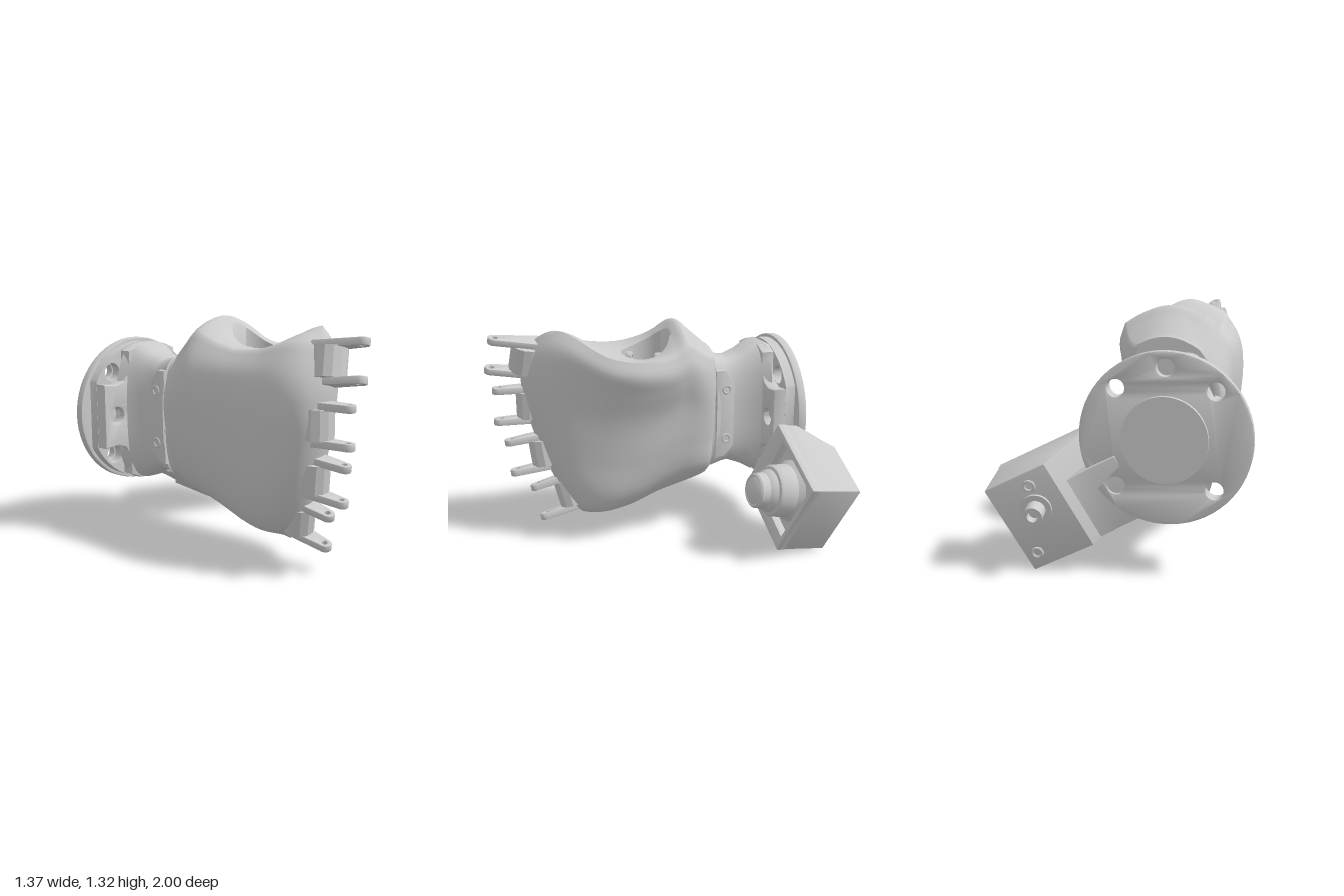
import * as THREE from 'three';
import { toCreasedNormals } from 'three/addons/utils/BufferGeometryUtils.js';

const material = new THREE.MeshStandardMaterial({ color: 0xcccccc, side: THREE.DoubleSide });
const V = (x, y, z) => new THREE.Vector3(x, y, z);
const points2 = (list) => list.map(([x, y]) => new THREE.Vector2(x, y));

function part(name, geometry, parent, crease = 0.6) {
  const mesh = new THREE.Mesh(toCreasedNormals(geometry, crease), material);
  mesh.name = name;
  parent.add(mesh);
  return mesh;
}

// Smooth lookup in rows of [t, a, b, ...]
function sample(rows, t) {
  let i = 0;
  while (i < rows.length - 2 && t > rows[i + 1][0]) i++;
  const p = rows[i], q = rows[i + 1], o = rows[Math.max(i - 1, 0)], r = rows[Math.min(i + 2, rows.length - 1)];
  const h = q[0] - p[0], s = Math.min(Math.max((t - p[0]) / h, 0), 1);
  return p.slice(1).map((a, k) => {
    const b = q[k + 1];
    const m = ((b - o[k + 1]) / (q[0] - o[0])) * h, n = ((r[k + 1] - a) / (r[0] - p[0])) * h;
    return a + s * m + s * s * (3 * (b - a) - 2 * m - n) + s * s * s * (2 * (a - b) + m + n);
  });
}

// Skin over closed rings with equal point counts
function loft(rings) {
  const n = rings[0].length, index = [];
  for (let i = 0; i < rings.length - 1; i++) {
    for (let j = 0; j < n; j++) {
      const a = i * n + j, b = i * n + ((j + 1) % n);
      index.push(a, a + n, b, b, a + n, b + n);
    }
  }
  const g = new THREE.BufferGeometry().setFromPoints(rings.flat());
  g.setIndex(index);
  return g;
}

function extrude(shape, depth, z, bevel = 0) {
  const g = new THREE.ExtrudeGeometry(shape, {
    depth: depth - 2 * bevel, bevelEnabled: bevel > 0, bevelSize: bevel, bevelOffset: -bevel,
    bevelThickness: bevel, bevelSegments: 2, curveSegments: 32,
  });
  return g.translate(0, 0, z + bevel);
}

function circleHole(x, y, r) {
  const p = new THREE.Path();
  p.absarc(x, y, r, 0, Math.PI * 2, true);
  return p;
}

const bottomCurve = [[-0.29, 0.32], [0, 0.24], [0.2, 0.17], [0.45, 0.13], [0.8, 0.15]];
// z, crown height, fall towards the sides
const topCurve = [[-0.29, 1.16, 1.9], [-0.17, 1.28, 1.9], [-0.1, 1.345, 1.9], [-0.03, 1.3, 1.6], [0.06, 1.235, 1],
  [0.2, 1.19, 0.6], [0.35, 1.205, 0.7], [0.6, 1.29, 1.5], [0.8, 1.2, 1.9]];
// level, left x, back right x, bulge x, taper x, front right x, front z
const levels = [
  [0, -0.28, -0.18, -0.17, -0.18, -0.2, 0.46],
  [0.04, -0.36, -0.12, -0.1, -0.09, -0.13, 0.52],
  [0.15, -0.43, -0.03, -0.01, -0.02, -0.12, 0.6],
  [0.35, -0.48, 0.0, 0.045, 0.0, -0.15, 0.69],
  [0.6, -0.505, 0.03, 0.08, 0.03, -0.17, 0.76],
  [0.8, -0.51, 0.04, 0.14, 0.08, -0.18, 0.79],
  [0.93, -0.48, 0.03, 0.165, 0.115, -0.2, 0.78],
  [1, -0.4, 0.01, 0.13, 0.08, -0.22, 0.72],
];
function topY(x, z) {
  const [crown, fall] = sample(topCurve, z);
  return crown - fall * (x + 0.16) ** 2;
}

function palmGeometry() {
  const N = 120, rings = [];
  const ringAt = (t) => {
    const [xl, xb, xr, xt, xf, zf] = sample(levels, t);
    const curve = new THREE.CatmullRomCurve3([
      V(xl + 0.04, 0, -0.29), V((xl + xb) / 2, 0, -0.31), V(xb, 0, -0.29), V(xr, 0, 0.02), V(xt, 0, 0.35),
      V(xf, 0, zf - 0.07), V((xl + xf) / 2, 0, zf), V(xl + 0.05, 0, zf - 0.05), V(xl + 0.005, 0, zf - 0.17),
      V(xl + 0.012, 0, 0.15),
    ], true);
    return Array.from({ length: N }, (_, j) => {
      const p = curve.getPoint(j / N);
      p.z = Math.max(p.z, -0.295);
      const low = sample(bottomCurve, p.z)[0];
      p.y = low + (topY(p.x, p.z) - low) * t;
      return p;
    });
  };
  rings.push(ringAt(0).map((p) => V(-0.23, sample(bottomCurve, p.z)[0], p.z)));
  for (let i = 0; i <= 32; i++) rings.push(ringAt(1 - (1 - i / 32) ** 1.2));
  // Top surface running in to the thumb socket
  const rim = rings[rings.length - 1];
  const socket = rim.map((p) => {
    const a = Math.atan2(p.z - 0.1, p.x + 0.1);
    return V(-0.1 + 0.14 * Math.cos(a), 0, 0.1 + 0.14 * Math.sin(a));
  });
  for (let i = 1; i <= 18; i++) {
    const s = i / 18;
    rings.push(rim.map((p, j) => {
      const q = p.clone().lerp(socket[j], s);
      q.y = topY(q.x, q.z) - 0.04 * s;
      return q;
    }));
  }
  rings.push(socket.map((p) => V(p.x, 0.95, p.z)));
  rings.push(socket.map(() => V(-0.1, 0.95, 0.1)));
  return loft(rings);
}

// Knuckle block between two drilled lugs, pointing along +z
function fingerMount(name) {
  const g = new THREE.Group();
  g.name = name;
  const block = new THREE.CylinderGeometry(0.088, 0.088, 0.16, 12).rotateY(Math.PI / 12);
  part('knuckleBlock', block.translate(0, 0, -0.015), g, 0.3);
  const s = new THREE.Shape();
  s.moveTo(-0.06, 0.1);
  s.lineTo(-0.035, -0.17);
  s.absarc(0, -0.175, 0.035, Math.PI, Math.PI * 2, false);
  s.lineTo(0.06, 0.1);
  s.holes.push(circleHole(0, -0.17, 0.015));
  for (const y of [-0.095, 0.095]) {
    part('lug', extrude(s, 0.04, -0.02, 0.005).rotateX(-Math.PI / 2).translate(0, y, 0), g);
  }
  return g;
}

function cameraModule() {
  const g = new THREE.Group();
  g.name = 'cameraModule';
  // Housing, and the tongue that meets the flange
  const side = new THREE.Shape(points2([[0.265, -0.05], [-0.265, -0.05], [-0.265, -0.13], [-0.22, -0.18],
    [-0.15, -0.25], [-0.09, -0.32], [0.265, -0.32]]));
  part('housing', extrude(side, 0.51, -0.255, 0.008).rotateX(Math.PI / 2), g);
  const tongue = new THREE.Shape(points2([[0, -0.15], [-0.26, -0.12], [-0.4, -0.2], [-0.4, -0.24], [-0.25, -0.25],
    [-0.12, -0.275], [0, -0.318]]));
  part('tongue', extrude(tongue, 0.36, -0.11, 0.005).rotateX(Math.PI / 2), g);
  // Front frame with a square window
  const frame = new THREE.Shape(points2([[-0.265, -0.255], [0.265, -0.255], [0.265, 0.255], [-0.265, 0.255]]));
  frame.holes.push(new THREE.Path(points2([[-0.145, -0.165], [0.235, -0.165], [0.235, 0.22], [-0.145, 0.22]])));
  part('frontFrame', extrude(frame, 0.06, -0.06, 0.008), g);
  const lens = [[0.18, -0.05], [0.155, -0.02], [0.15, 0.07], [0.14, 0.085], [0.125, 0.09], [0.115, 0.12], [0.105, 0.13],
    [0.1, 0.18], [0.09, 0.19], [0.08, 0.185], [0.06, 0.197], [0.03, 0.206], [0, 0.209]];
  part('lens', new THREE.LatheGeometry(points2(lens), 48).rotateX(Math.PI / 2).translate(0.045, 0.018, 0), g);
  // Rear connector and screws
  const plug = [[0.08, 0], [0.08, 0.015], [0.05, 0.015], [0.05, 0.095], [0.028, 0.095], [0.028, 0.05], [0, 0.05]];
  part('connector', new THREE.LatheGeometry(points2(plug), 32).rotateX(-Math.PI / 2).translate(0.07, 0.055, -0.32), g);
  for (const [x, y] of [[0.04, 0.18], [0.2, -0.17]]) {
    part('rearScrew', new THREE.TorusGeometry(0.026, 0.008, 8, 24).translate(x, y, -0.32), g);
  }
  g.rotation.set(-0.185, 0, -0.47, 'ZYX');
  g.position.set(0.335, 0.385, -0.57);
  return g;
}

function wrist() {
  const g = new THREE.Group();
  g.name = 'wrist';
  const corners = [[-0.25, -0.25], [0.25, -0.25], [-0.25, 0.25], [0.25, 0.25]];
  // Mounting flange and rear boss
  const disc = new THREE.Shape().absarc(0, 0, 0.44, 0, Math.PI * 2, false);
  disc.holes.push(...[...corners, [0, 0.36]].map(([x, y]) => circleHole(x, y, 0.045)));
  part('flange', extrude(disc, 0.05, -0.815, 0.006), g);
  part('rearBoss', new THREE.CylinderGeometry(0.22, 0.22, 0.04, 64).rotateX(Math.PI / 2).translate(0, 0, -0.82), g);
  // Hub: a disc with flat sides, and a raised layer with open corner pockets
  const hub = new THREE.Shape();
  const a = Math.acos(0.37 / 0.42);
  hub.absarc(0, 0, 0.42, a, Math.PI - a, false);
  hub.absarc(0, 0, 0.42, Math.PI + a, 2 * Math.PI - a, false);
  hub.closePath();
  hub.holes.push(...corners.map(([x, y]) => circleHole(x, y, 0.055)));
  part('hub', extrude(hub, 0.065, -0.77), g);
  const quarter = [[0.37, 0.19], [0.28, 0.18], [0.22, 0.2], [0.18, 0.26], [0.18, 0.375], [0.1, 0.408]];
  const mirrored = (sx, sy) => quarter.map(([x, y]) => [x * sx, y * sy]);
  const raised = new THREE.Shape(points2([...mirrored(1, 1), ...mirrored(-1, 1).reverse(),
    ...mirrored(-1, -1), ...mirrored(1, -1).reverse()]));
  raised.holes.push(circleHole(-0.28, 0, 0.05), circleHole(0.28, 0, 0.05));
  part('raisedHub', extrude(raised, 0.08, -0.71, 0.008), g);
  // Neck: z, half width, half height
  const neck = [[-0.68, 0.24, 0.42], [-0.62, 0.2, 0.41], [-0.55, 0.17, 0.37], [-0.46, 0.155, 0.335], [-0.42, 0.16, 0.34],
    [-0.36, 0.175, 0.355], [-0.345, 0.18, 0.36], [-0.34, 0.165, 0.36], [-0.24, 0.165, 0.36]];
  part('neck', loft(neck.map(([z, w, h]) => Array.from({ length: 64 }, (_, j) => {
    const t = (-j / 64) * Math.PI * 2, c = Math.cos(t), s = Math.sin(t);
    return V(w * Math.sign(c) * Math.abs(c) ** 0.6, h * Math.sign(s) * Math.abs(s) ** 0.7, z);
  }))), g);
  // Clamp plates and screws on both sides of the neck
  const plate = new THREE.Shape(points2([[0.34, -0.27], [0.4, -0.27], [0.46, -0.2], [0.46, 0.2], [0.4, 0.28], [0.34, 0.28]]));
  for (const s of [-1, 1]) {
    const sidePlate = extrude(plate, 0.05, -0.025, 0.005).rotateY(Math.PI / 2);
    part('clampPlate', sidePlate.translate(s * 0.146, 0, 0), g);
    for (const y of [-0.15, 0.16]) {
      part('clampScrew', new THREE.TorusGeometry(0.024, 0.007, 8, 24).rotateY(Math.PI / 2)
        .translate(s * 0.17, y, -0.41), g);
    }
  }
  g.position.set(-0.25, 0.72, 0);
  return g;
}

export function createModel() {
  const model = new THREE.Group();
  model.name = 'roboticPalm';
  part('palm', palmGeometry(), model, 1);
  // Finger mounts: x, y, z, pitch, roll
  [[-0.31, 1.12, 0.78, -0.13, -0.27], [-0.37, 0.82, 0.75, 0, 0], [-0.32, 0.53, 0.69, 0.12, 0.07],
    [-0.26, 0.27, 0.55, 0.24, 0.2]].forEach(([x, y, z, pitch, roll], i) => {
    const m = fingerMount('fingerMount' + (i + 1));
    m.position.set(x, y, z);
    m.rotation.set(pitch, 0, roll);
    model.add(m);
  });
  // Thumb mount standing in the socket
  const thumb = fingerMount('thumbMount');
  thumb.position.set(-0.13, 0.95, 0.1);
  thumb.rotation.set(-Math.PI / 2, 0, -0.5, 'YXZ');
  thumb.scale.setScalar(0.9);
  model.add(thumb, wrist(), cameraModule());
  return model;
}
